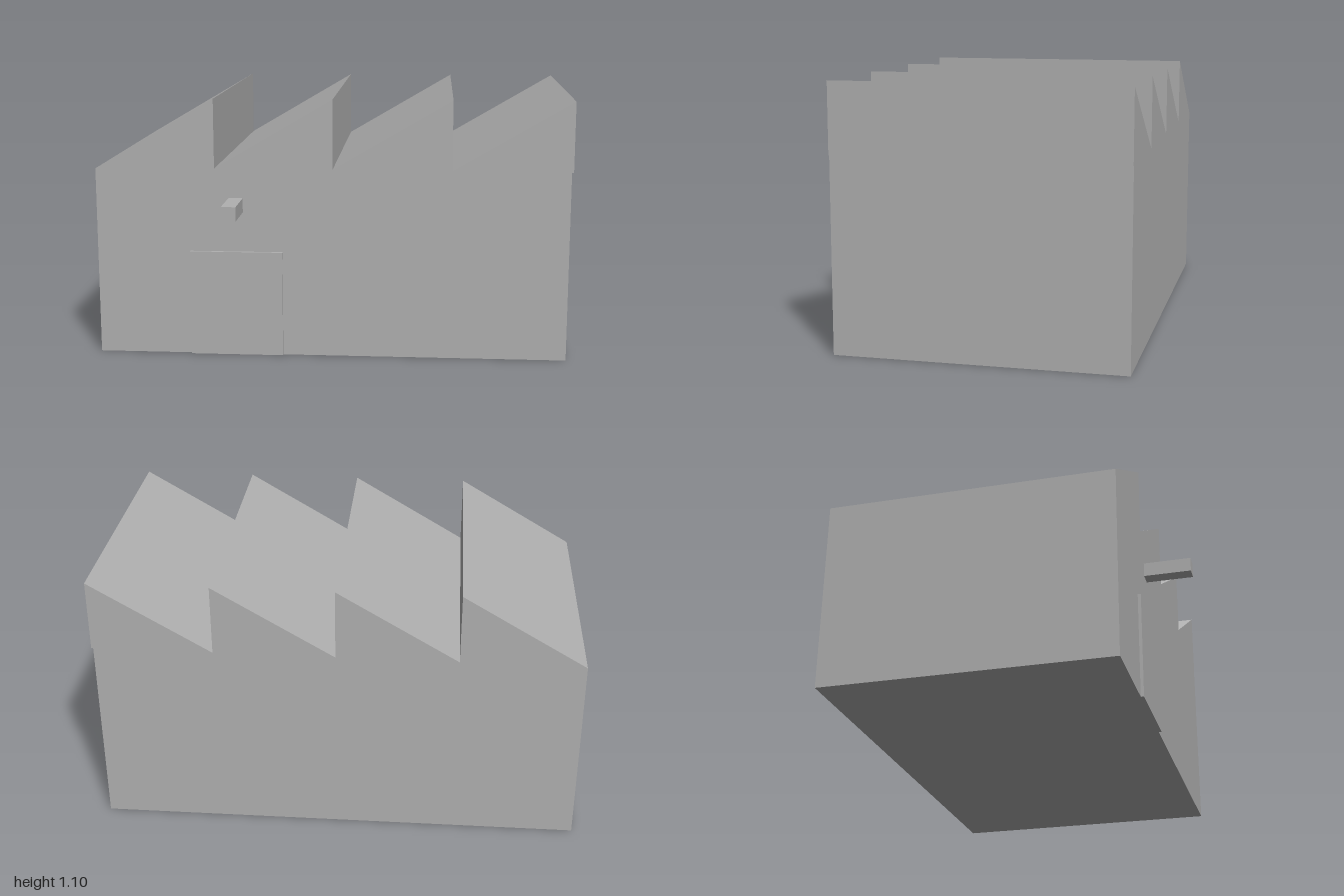
import * as THREE from 'three';

export function createModel() {
  const group = new THREE.Group();
  const grey = new THREE.MeshStandardMaterial({ color: 0xb0b0b0 });
  const back = -0.697, front = 0.498, depth = front - back;
  const wallEnd = 0.992, wallTop = 0.8, peak = 1.098, teeth = 4;
  const pitch = (wallEnd + 1) / teeth, overhang = 0.008;

  function add(name, geometry, x, y, z) {
    const mesh = new THREE.Mesh(geometry, grey);
    mesh.name = name;
    mesh.position.set(x, y, z);
    group.add(mesh);
  }

  function addBox(name, x0, x1, y0, y1, z0, z1) {
    add(name, new THREE.BoxGeometry(x1 - x0, y1 - y0, z1 - z0),
      (x0 + x1) / 2, (y0 + y1) / 2, (z0 + z1) / 2);
  }

  // Hall and sawtooth roof share one continuous end profile
  const slope = (peak - wallTop) / (pitch + overhang);
  const valley = wallTop + slope * overhang;
  const profile = new THREE.Shape();
  profile.moveTo(-1, 0);
  profile.lineTo(wallEnd, 0);
  profile.lineTo(wallEnd, valley);
  for (let i = teeth; i > 0; i--) {
    const x = -1 + i * pitch + overhang;
    profile.lineTo(x, valley); // foot of the upright face
    profile.lineTo(x, peak);
  }
  profile.lineTo(-1, wallTop);
  profile.closePath();
  add('factoryHall', new THREE.ExtrudeGeometry(profile, { depth, bevelEnabled: false }), 0, 0, back);

  // Loading door and the beam above it
  addBox('loadingDoor', -0.602, -0.208, 0, 0.45, front, 0.511);
  addBox('hoistBeam', -0.435, -0.375, 0.62, 0.68, front, 0.697);

  return group;
}
